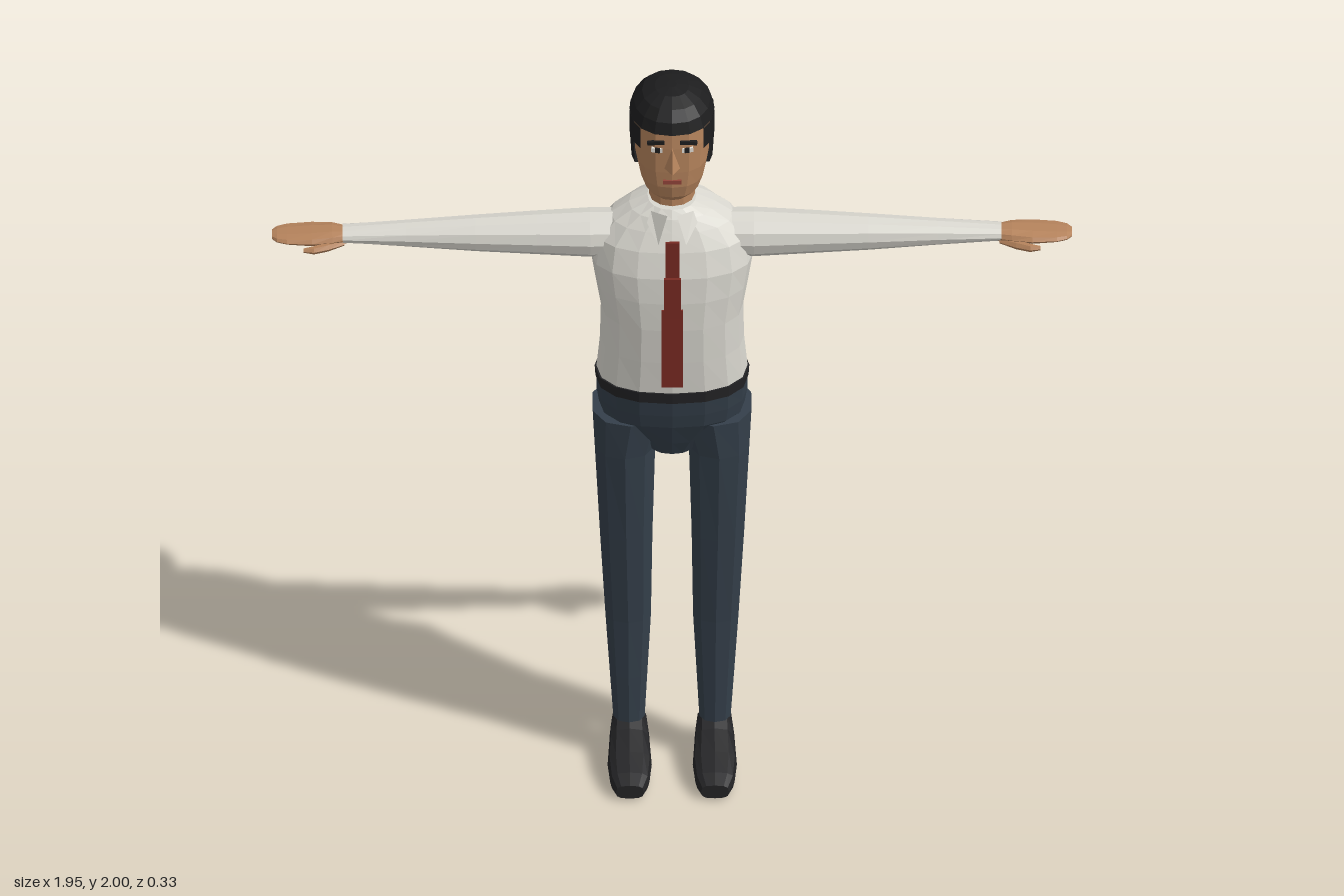
import * as THREE from 'three';

const mat = (name, color, side = THREE.FrontSide) => {
  const m = new THREE.MeshStandardMaterial({ color, side, flatShading: true });
  m.name = name;
  return m;
};

// Rings are [height, halfWidth, zMin, zMax, centreX]; an arc gap (radians) leaves the front open
function loft(rings, sides, { power = 2, gap = 0, caps = true } = {}) {
  const pos = [], idx = [], row = sides + 1;
  const bend = v => Math.sign(v) * Math.abs(v) ** (2 / power);
  for (const [t, hx, z0, z1, cx = 0] of rings) {
    for (let j = 0; j <= sides; j++) {
      const a = Math.PI / 2 + gap + (j / sides) * (2 * Math.PI - 2 * gap);
      pos.push(cx + hx * bend(Math.cos(a)), t, (z0 + z1) / 2 + ((z1 - z0) / 2) * bend(Math.sin(a)));
    }
  }
  for (let i = 0; i < rings.length - 1; i++) {
    for (let j = 0; j < sides; j++) {
      const a = i * row + j, b = a + row;
      idx.push(a, b, b + 1, a, b + 1, a + 1);
    }
  }
  if (caps && !gap) {
    for (const i of [0, rings.length - 1]) {
      const [t, , z0, z1, cx = 0] = rings[i];
      const c = pos.length / 3;
      pos.push(cx, t, (z0 + z1) / 2);
      for (let j = 0; j < sides; j++) {
        const a = i * row + j;
        if (i) idx.push(c, a + 1, a);
        else idx.push(c, a, a + 1);
      }
    }
  }
  return faceted(pos, idx);
}

function faceted(pos, idx) {
  const g = new THREE.BufferGeometry();
  g.setAttribute('position', new THREE.Float32BufferAttribute(pos, 3));
  g.setIndex(idx);
  const flat = g.toNonIndexed();
  flat.computeVertexNormals();
  return flat;
}

export function createModel() {
  const root = new THREE.Group();
  root.name = 'standingMan';
  const shirt = mat('shirtWhite', 0xd9d7cf, THREE.DoubleSide);
  const trousers = mat('trouserNavy', 0x343f4a);
  const black = mat('shoeBlack', 0x232325);
  const hairMat = mat('hairBlack', 0x1d1d1e, THREE.DoubleSide);
  const skin = mat('skin', 0xb5835c);
  const tieRed = mat('tieRed', 0x782a22);
  const lip = mat('lipRed', 0x94453a);
  const white = mat('eyeWhite', 0xe4e0d8);

  const add = (name, geo, material, parent = root) => {
    const m = new THREE.Mesh(geo, material);
    m.name = name;
    parent.add(m);
    return m;
  };
  const plate = (name, material, w, h, d, x, y, z, ry = 0, rz = 0, rx = 0) => {
    const m = add(name, new THREE.BoxGeometry(w, h, d), material);
    m.position.set(x, y, z);
    m.rotation.set(rx, ry, rz);
    return m;
  };

  // Torso, belt and hips
  add('shirtBody', loft([
    [1.16, 0.185, -0.152, 0.092], [1.26, 0.176, -0.146, 0.1], [1.36, 0.174, -0.141, 0.106],
    [1.44, 0.187, -0.14, 0.106], [1.51, 0.198, -0.138, 0.1], [1.575, 0.188, -0.135, 0.08],
    [1.62, 0.15, -0.13, 0.058], [1.65, 0.105, -0.122, 0.043], [1.67, 0.06, -0.112, 0.028],
  ], 16, { power: 2.3 }), shirt);
  add('belt', loft([[1.135, 0.187, -0.155, 0.094], [1.165, 0.189, -0.155, 0.096]], 16, { power: 2.3 }), black);
  add('hips', loft([
    [0.94, 0.06, -0.105, 0.03], [0.985, 0.1, -0.14, 0.05], [1.05, 0.178, -0.158, 0.075],
    [1.09, 0.184, -0.16, 0.084], [1.137, 0.185, -0.152, 0.091],
  ], 16, { power: 2.3 }), trousers);

  // Neck and head
  add('neck', loft([[1.64, 0.056, -0.097, 0.013], [1.75, 0.055, -0.095, 0.012]], 12), skin);
  add('head', loft([
    [1.708, 0.045, -0.085, 0.04], [1.73, 0.067, -0.108, 0.06], [1.765, 0.08, -0.128, 0.069],
    [1.81, 0.09, -0.142, 0.071], [1.88, 0.093, -0.145, 0.071], [1.94, 0.09, -0.14, 0.067],
    [1.975, 0.06, -0.105, 0.035],
  ], 16, { power: 2.4 }), skin);

  // Hair: full crown with stepped sides below
  const hair = new THREE.Group();
  hair.name = 'hair';
  root.add(hair);
  const hairLine = [1.925, 0.104, -0.166, 0.076];
  add('hairCrown', loft([
    hairLine, [1.955, 0.094, -0.155, 0.066], [1.98, 0.073, -0.128, 0.044],
    [1.995, 0.042, -0.09, 0.008], [2, 0.012, -0.055, -0.025],
  ], 16, { power: 2.2 }), hairMat, hair);
  add('hairTemples', loft([[1.865, 0.104, -0.166, 0.076], hairLine], 14, { power: 2.2, gap: 0.8 }), hairMat, hair);
  add('hairSides', loft([[1.8, 0.1, -0.158, 0.07], [1.866, 0.104, -0.166, 0.076]], 14, { power: 2.2, gap: 1.12 }), hairMat, hair);
  add('hairUnderside', loft([[1.8, 0.086, -0.14, 0.06], [1.801, 0.1, -0.158, 0.07]], 14, { power: 2.2, gap: 1.12 }), hairMat, hair);

  // Face: wedge nose, mouth, eyes and brows
  add('nose', faceted([
    0, 1.885, 0.07, -0.02, 1.822, 0.066, 0.02, 1.822, 0.066, 0, 1.828, 0.106,
  ], [0, 1, 3, 0, 3, 2, 1, 2, 3]), skin);
  plate('mouth', lip, 0.046, 0.011, 0.008, 0, 1.783, 0.068);

  for (const s of [1, -1]) {
    const side = s > 0 ? 'left' : 'right';
    plate(side + 'Eye', white, 0.028, 0.012, 0.008, s * 0.037, 1.876, 0.064, s * 0.15);
    plate(side + 'Pupil', hairMat, 0.012, 0.013, 0.008, s * 0.036, 1.876, 0.0655, s * 0.15);
    plate(side + 'Brow', hairMat, 0.042, 0.009, 0.009, s * 0.04, 1.898, 0.065, s * 0.15, -s * 0.15);

    // Collar flap
    add(side + 'Collar', faceted([
      s * 0.052, 1.672, 0.035, s * 0.012, 1.678, 0.066, s * 0.034, 1.605, 0.086,
      s * 0.062, 1.648, 0.05,
    ], [0, 1, 2, 0, 2, 3]), shirt);

    // Sleeve, hand and thumb run outward along x
    const outward = (name, rings, n, material, power = 2, y = 1.563) => {
      const m = add(name, loft(rings, n, { power }).rotateZ(-s * Math.PI / 2), material);
      m.position.y = y;
    };
    outward(side + 'Sleeve', [
      [0.14, 0.06, -0.092, 0.03], [0.2, 0.06, -0.094, 0.032], [0.33, 0.053, -0.086, 0.025],
      [0.48, 0.044, -0.076, 0.018], [0.65, 0.031, -0.066, 0.008], [0.805, 0.019, -0.06, 0.002],
    ], 12, shirt);
    outward(side + 'Hand', [
      [0.785, 0.016, -0.052, -0.004], [0.83, 0.018, -0.07, 0.008], [0.88, 0.015, -0.076, 0.015],
      [0.94, 0.011, -0.072, 0.011], [0.965, 0.009, -0.062, 0.002], [0.977, 0.006, -0.048, -0.012],
    ], 10, skin, 2.4, 1.56);
    outward(side + 'Thumb', [
      [0.8, 0.008, -0.025, 0], [0.84, 0.011, -0.006, 0.022], [0.875, 0.01, 0.012, 0.034],
      [0.9, 0.005, 0.018, 0.03],
    ], 6, skin, 2, 1.549);

    // Trouser leg
    add(side + 'Leg', loft([
      [0.115, 0.04, -0.087, 0, s * 0.105], [0.25, 0.048, -0.099, 0.005, s * 0.106],
      [0.42, 0.058, -0.112, 0.011, s * 0.107], [0.68, 0.067, -0.103, 0.032, s * 0.112],
      [0.94, 0.077, -0.128, 0.053, s * 0.115], [1.045, 0.097, -0.152, 0.062, s * 0.101],
    ], 10, { power: 2.3 }), trousers);

    // Shoe runs heel to toe along z, its depth given as negative height
    const shoe = add(side + 'Shoe', loft([
      [-0.095, 0.036, -0.1, -0.004], [-0.075, 0.045, -0.108, 0], [-0.03, 0.048, -0.117, 0],
      [0.005, 0.05, -0.1, 0], [0.07, 0.054, -0.077, 0], [0.13, 0.048, -0.057, 0],
      [0.165, 0.034, -0.042, -0.004],
    ], 12, { power: 3 }).rotateX(Math.PI / 2), black);
    shoe.position.x = s * 0.104;
  }

  // Tie in three hanging pieces
  plate('tieTop', tieRed, 0.034, 0.11, 0.008, 0, 1.575, 0.11);
  plate('tieMiddle', tieRed, 0.042, 0.115, 0.008, 0, 1.472, 0.122);
  plate('tieBottom', tieRed, 0.052, 0.225, 0.009, 0, 1.312, 0.107, 0, 0, -0.025);

  return root;
}
